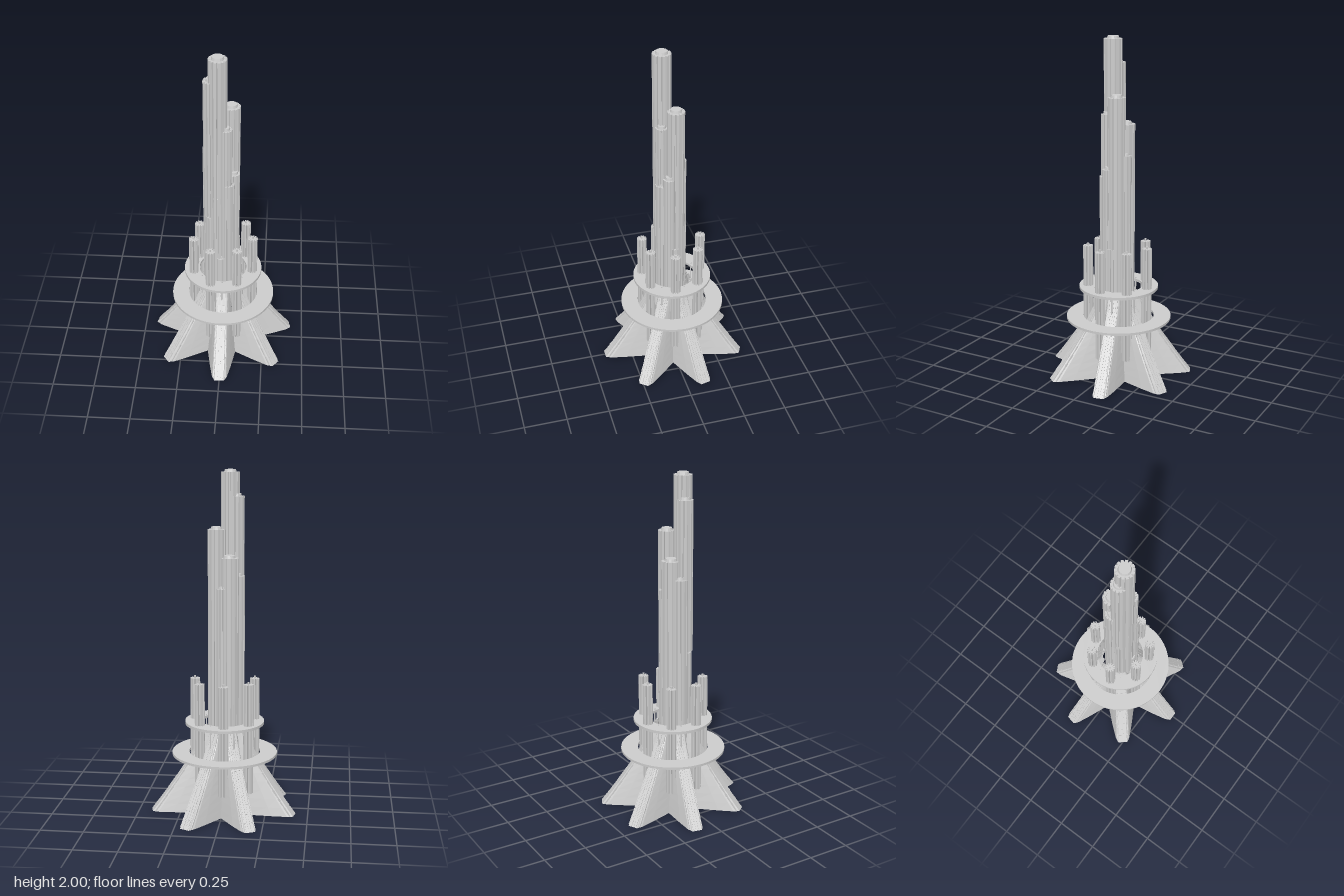
import * as THREE from 'three';

const mat = new THREE.MeshStandardMaterial({ color: 0xcccccc, flatShading: true });
const thin = new THREE.MeshStandardMaterial({ color: 0xcccccc, flatShading: true, side: THREE.DoubleSide });
const smooth = new THREE.MeshStandardMaterial({ color: 0xcccccc });
const lerp = THREE.MathUtils.lerp;
const SIDES = 7, STEP = Math.PI * 2 / SIDES, BASE_Z = -0.02, LEG_H = 0.5;

function add(parent, name, geo, material = mat) {
  const m = new THREE.Mesh(geo, material);
  m.name = name;
  parent.add(m);
  return m;
}

// Upright column whose plan is a ring of square teeth
function fluted(teeth, rOut, rIn, fill, y0, y1) {
  const s = new THREE.Shape();
  const w = Math.PI / teeth * fill;
  for (let i = 0; i < teeth; i++) {
    const a = i / teeth * Math.PI * 2;
    const half = rOut * Math.sin(w), root = Math.sqrt(Math.max(rIn * rIn - half * half, 1e-6));
    for (const [r, t] of [[root, -half], [rOut, -half], [rOut, half], [root, half]]) {
      const x = r * Math.cos(a) - t * Math.sin(a), y = r * Math.sin(a) + t * Math.cos(a);
      if (i === 0 && t < 0 && r === root) s.moveTo(x, y); else s.lineTo(x, y);
    }
  }
  s.closePath();
  const g = new THREE.ExtrudeGeometry(s, { depth: y1 - y0, bevelEnabled: false });
  return g.rotateX(-Math.PI / 2).translate(0, y0, 0);
}

// Flat annular deck
function deck(rIn, rOut, y0, y1) {
  const s = new THREE.Shape().absarc(0, 0, rOut, 0, Math.PI * 2);
  s.holes.push(new THREE.Path().absarc(0, 0, rIn, 0, Math.PI * 2, true));
  const g = new THREE.ExtrudeGeometry(s, { depth: y1 - y0, bevelEnabled: false, curveSegments: 32 });
  return g.rotateX(-Math.PI / 2).translate(0, y0, 0);
}

// Outer radius of a leg at height fraction t
const legRadius = t => 0.11 + 0.32 * Math.pow(Math.max(0, 1 - t), 1.2);

// U-shaped section of a leg, open towards the middle
function legSection(t, lip) {
  const ro = legRadius(t), ri = lerp(0.165, 0.09, t);
  const half = [
    [lerp(0.085, 0.037, t), ri],
    [lerp(0.06, 0.034, t), lerp(ri, ro, 0.55)],
    [lerp(0.042, 0.029, t), lerp(ri, ro, 0.88)],
    [lerp(0.026, 0.018, t), ro],
  ].map(([w, r], i) => [w + lip, i ? r + lip : r]);
  return [...half, ...half.slice().reverse().map(([w, r]) => [-w, r])];
}

// Leg shell: overlapping courses of panels
function legShell() {
  const pos = [], idx = [], courses = 10, n = 8;
  for (let k = 0; k < courses; k++) {
    for (const [t, lip] of [[k / courses, 0.003], [(k + 1) / courses, 0]])
      for (const [x, z] of legSection(t, lip)) pos.push(x, t * LEG_H, z);
  }
  for (let r = 0; r < courses * 2 - 1; r++) {
    for (let i = 0; i < n - 1; i++) {
      const a = r * n + i, b = a + 1, c = a + n, d = b + n;
      idx.push(a, c, b, b, c, d);
    }
  }
  const g = new THREE.BufferGeometry();
  g.setAttribute('position', new THREE.Float32BufferAttribute(pos, 3));
  g.setIndex(idx);
  g.computeVertexNormals();
  return g;
}

// Staggered plates along the ridge of a leg
function ridgePlates(leg) {
  for (let j = -2; j <= 2; j++) {
    const count = 6, shift = (Math.abs(j) % 2) * 0.08;
    for (let k = 0; k < count; k++) {
      const t0 = Math.max(0, k / count - shift), t1 = (k + 1) / count - shift;
      const at = t => new THREE.Vector3(j * lerp(0.0155, 0.011, t), t * LEG_H,
        legRadius(t) - (Math.abs(j) === 2 ? 0.013 * (1 - t) : 0));
      const a = at(t0), b = at(t1);
      const plate = add(leg, 'ridgePlate',
        new THREE.BoxGeometry(lerp(0.014, 0.01, t0), 0.007 + 0.002 * ((k + j + 2) % 2), a.distanceTo(b) * 0.98));
      plate.position.copy(a).lerp(b, 0.5);
      plate.lookAt(b);
    }
  }
}

export function createModel() {
  const model = new THREE.Group();
  model.name = 'tower';
  const base = new THREE.Group();
  base.name = 'base';
  base.position.z = BASE_Z;
  model.add(base);

  // Splayed legs with a slim post above each
  const shell = legShell();
  for (let i = 0; i < SIDES; i++) {
    const leg = new THREE.Group();
    leg.name = 'leg';
    add(leg, 'legShell', shell, thin);
    ridgePlates(leg);
    add(leg, 'post', new THREE.CylinderGeometry(0.004, 0.004, 0.25, 8)).position.set(0, 0.42, 0.155);
    leg.rotation.y = i * STEP;
    base.add(leg);
  }

  // Ring decks
  add(base, 'lowerDeck', deck(0.21, 0.31, 0.338, 0.352), smooth);
  add(base, 'upperDeck', deck(0.142, 0.233, 0.524, 0.54), smooth);

  // Finned pylons standing in the valleys between legs
  const pylonGeo = fluted(11, 0.029, 0.011, 0.5, 0.13, 0.785);
  const pinGeo = new THREE.CylinderGeometry(0.006, 0.006, 0.69, 8).translate(0, 0.455, 0);
  for (let i = 0; i < SIDES; i++) {
    const a = (i + 0.5) * STEP + 0.075;
    const pylon = new THREE.Group();
    pylon.name = 'pylon';
    pylon.position.set(0.18 * Math.sin(a), 0, 0.18 * Math.cos(a));
    pylon.rotation.y = a;
    add(pylon, 'pylonFins', pylonGeo);
    add(pylon, 'pylonPin', pinGeo);
    base.add(pylon);
  }

  // Clustered fluted shafts: x, z, radius, bottom, top
  const shafts = [
    [-0.027, 0.031, 0.053, 0.3, 1.985],
    [-0.062, 0.022, 0.047, 0.97, 1.85],
    [0.046, -0.03, 0.05, 0.3, 1.665],
    [0.018, 0.045, 0.036, 0.3, 1.56],
    [-0.03, -0.05, 0.053, 0.3, 1.505],
    [-0.072, -0.015, 0.044, 0.3, 1.4],
    [0.005, -0.062, 0.04, 0.3, 1.33],
    [0.062, 0.012, 0.036, 0.3, 1.25],
    [0.028, 0.042, 0.043, 0.3, 1.2],
    [-0.033, 0.045, 0.036, 0.3, 1.11],
    [-0.06, 0.025, 0.04, 0.3, 0.96],
    [0.055, -0.015, 0.045, 0.3, 0.78],
    [-0.01, 0.062, 0.03, 0.3, 0.68],
  ];
  shafts.forEach(([x, z, r, y0, y1], i) => {
    const shaft = new THREE.Group();
    shaft.name = 'shaft';
    shaft.position.set(x, 0, z);
    shaft.rotation.y = i * 0.4;
    add(shaft, 'shaftFlutes', fluted(14, r, r * 0.82, 0.62, y0, y1));
    add(shaft, 'shaftCap', new THREE.CylinderGeometry(r * 0.6, r * 0.68, 0.015, 14)).position.y = y1 + 0.0075;
    model.add(shaft);
  });

  return model;
}
